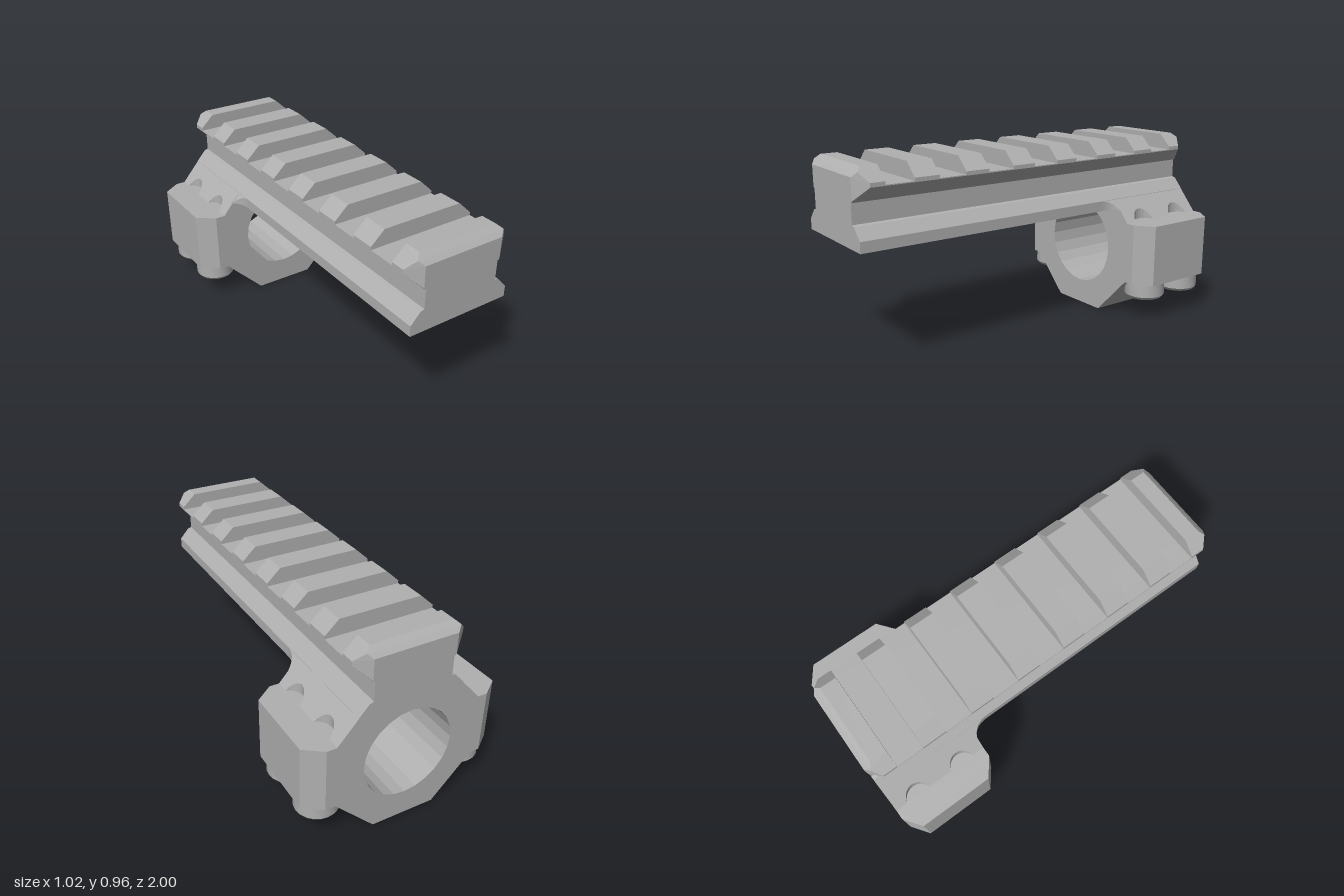
import * as THREE from 'three';
import { toCreasedNormals } from 'three/addons/utils/BufferGeometryUtils.js';
import { ConvexGeometry } from 'three/addons/geometries/ConvexGeometry.js';

const BOLT_Z = [-0.61, -0.87];

export function createModel() {
  const root = new THREE.Group();
  const metal = new THREE.MeshStandardMaterial({ color: 0xb0b0b0 });
  metal.name = 'grey metal';

  const add = (name, geometry, parent = root) => {
    const mesh = new THREE.Mesh(geometry, metal);
    mesh.name = name;
    parent.add(mesh);
    return mesh;
  };
  const poly = pts => new THREE.Shape(pts.map(([x, y]) => new THREE.Vector2(x, y)));
  // Full outline from its right half, listed bottom to top
  const mirrored = half => poly([...half, ...half.slice().reverse().map(([x, y]) => [-x, y])]);
  // Front outline extruded from z0 to z1
  const alongZ = (shape, z0, z1) =>
    new THREE.ExtrudeGeometry(shape, { depth: z1 - z0, bevelEnabled: false, curveSegments: 12 }).translate(0, 0, z0);
  // Plan outline (x, -z) extruded from y0 to y1
  const upward = (shape, y0, y1) =>
    new THREE.ExtrudeGeometry(shape, { depth: y1 - y0, bevelEnabled: false, curveSegments: 8 })
      .rotateX(-Math.PI / 2).translate(0, y0, 0);
  const plan = (pts, side) => poly(pts.map(([x, z]) => [side * x, -z]));
  // Move vertices by a rule, then restore flat normals
  const warp = (geometry, rule) => {
    const p = geometry.attributes.position;
    const v = new THREE.Vector3();
    for (let i = 0; i < p.count; i++) {
      rule(v.fromBufferAttribute(p, i));
      p.setXYZ(i, v.x, v.y, v.z);
    }
    geometry.computeVertexNormals();
    return geometry;
  };
  // Upright prism whose top lies on the sloping shoulder of the clamp
  const shoulderPrism = (pts, side, y0) => warp(upward(plan(pts, side), y0, 1), v => {
    if (v.y > 0.9) v.y = 0.535 + (0.37 - Math.abs(v.x)) * 1.133;
  });
  const hull = pts => new ConvexGeometry(pts.flatMap(([x, y, z]) =>
    [new THREE.Vector3(x, y, z), new THREE.Vector3(-x, y, z)]));

  // Rail base with a rounded pocket underneath
  const slot = () => {
    const w = 0.2, a = -0.58, b = 0.38, r = 0.075;
    const h = new THREE.Path();
    h.moveTo(-w + r, a);
    h.lineTo(w - r, a);
    h.absarc(w - r, a + r, r, -Math.PI / 2, 0);
    h.absarc(w - r, b - r, r, 0, Math.PI / 2);
    h.absarc(-w + r, b - r, r, Math.PI / 2, Math.PI);
    h.absarc(-w + r, a + r, r, Math.PI, Math.PI * 1.5);
    return h;
  };
  for (const [name, y0, y1, topX] of [['railBase', 0.597, 0.65, 0.27], ['railBaseTaper', 0.65, 0.67, 0.252]]) {
    const shape = poly([[-0.27, -1], [0.27, -1], [0.27, 1], [-0.27, 1]]);
    shape.holes.push(slot());
    add(name, warp(upward(shape, y0, y1), v => {
      if (Math.abs(v.x) > 0.26 && v.y > y1 - 0.005) v.x = Math.sign(v.x) * topX;
    }));
  }
  add('railNeck', alongZ(mirrored([[0.252, 0.67], [0.22, 0.705], [0.2, 0.71], [0.2, 0.815]]), -1, 1));

  // Rail head, chamfered at both ends
  add('railHead', hull([-1, 1].flatMap(s => [
    [0.205, 0.808, s], [0.21, 0.815, s], [0.21, 0.885, s],
    [0.205, 0.808, s * 0.945], [0.28, 0.88, s * 0.945], [0.28, 0.885, s * 0.945],
  ])));

  // Cross teeth; the end ones are chamfered
  const tooth = [[0.28, 0.885], [0.28, 0.9], [0.21, 0.965]];
  for (let i = 1; i < 7; i++) {
    const z = 0.935 - i * 0.267;
    add('railTooth', alongZ(mirrored(tooth), z - 0.063, z + 0.063));
  }
  for (const s of [-1, 1]) {
    add('railEndTooth', hull([
      ...tooth.map(([x, y]) => [x, y, s * 0.873]),
      [0.28, 0.885, s * 0.945], [0.28, 0.9, s * 0.945], [0.235, 0.943, s * 0.979],
      [0.21, 0.965, s * 0.956], [0.21, 0.92, s], [0.21, 0.885, s],
    ]));
  }

  // Ring clamp with round bore
  const ring = mirrored([[0.165, 0], [0.37, 0.21], [0.37, 0.535], [0.3, 0.535], [0.3, 0.614], [0.22, 0.705], [0.2, 0.71]]);
  const bore = new THREE.Path();
  bore.absarc(0, 0.363, 0.232, 0, Math.PI * 2, true);
  ring.holes.push(bore);
  add('ringClamp', alongZ(ring, -1, -0.48));

  // Shoulder outline with a round notch over each bolt
  const notched = [[0.3, -0.48], [0.37, -0.48]];
  for (const z of BOLT_Z) {
    for (let i = 0; i <= 10; i++) {
      const a = -1.28 + (i / 10) * 2.56;
      notched.push([0.39 - 0.07 * Math.cos(a), z - 0.07 * Math.sin(a)]);
    }
  }
  notched.push([0.37, -1], [0.3, -1]);

  // Concave fillet between rail and clamp
  const fillet = [[0.24, -0.48], [0.24, -0.38], ...new THREE.QuadraticBezierCurve(
    new THREE.Vector2(0.27, -0.38), new THREE.Vector2(0.27, -0.455), new THREE.Vector2(0.32, -0.48))
    .getPoints(8).map(p => [p.x, p.y])];

  // Bolt head pieces
  const head = toCreasedNormals(new THREE.LatheGeometry(
    [[0.055, 0.12], [0.095, 0.12], [0.107, 0.135], [0.107, 0.212]].map(p => new THREE.Vector2(...p)), 20), 0.5);
  const collar = new THREE.Shape().absarc(0, 0, 0.06, 0, Math.PI * 2);
  collar.holes.push(poly(Array.from({ length: 6 }, (_, i) =>
    [0.045 * Math.cos(i * Math.PI / 3), 0.045 * Math.sin(i * Math.PI / 3)])));
  const collarGeo = upward(collar, 0.113, 0.17);
  const floorGeo = new THREE.CircleGeometry(0.06, 20).rotateX(Math.PI / 2).translate(0, 0.168, 0);

  for (const [side, label] of [[1, 'left'], [-1, 'right']]) {
    add(label + 'Shoulder', shoulderPrism(notched, side, 0.53));
    add(label + 'Fillet', shoulderPrism(fillet, side, 0.597));
    add(label + 'Ear', upward(plan([[0.355, -0.48], [0.42, -0.48], [0.51, -0.55],
      [0.51, -0.935], [0.42, -1], [0.355, -1]], side), 0.21, 0.535));
    for (const z of BOLT_Z) {
      const bolt = new THREE.Group();
      bolt.name = label + 'Bolt';
      bolt.position.set(side * 0.39, 0, z);
      add('boltHead', head, bolt);
      add('hexCollar', collarGeo, bolt);
      add('socketFloor', floorGeo, bolt);
      root.add(bolt);
    }
  }
  return root;
}
